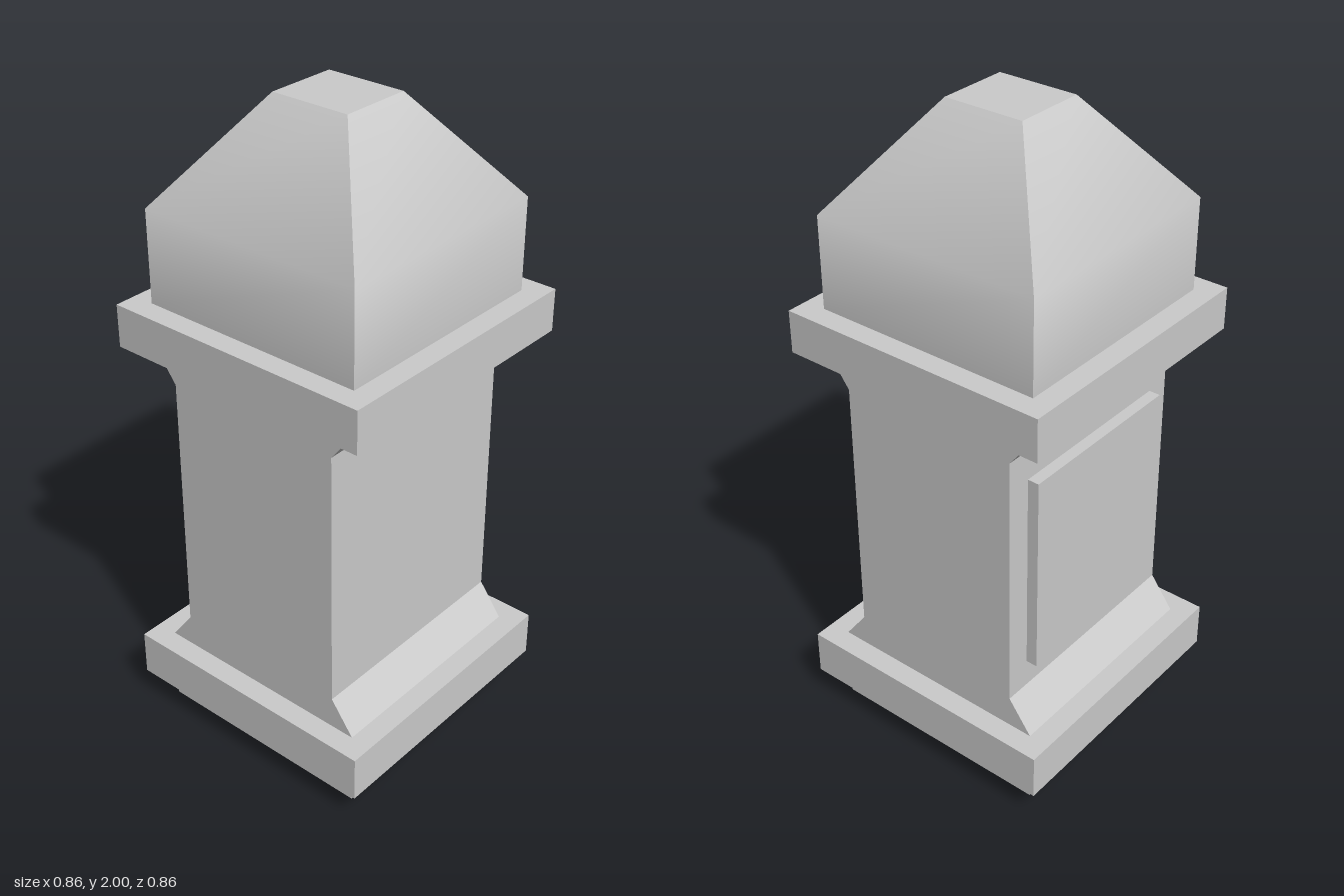
import * as THREE from 'three';

const material = new THREE.MeshStandardMaterial({ color: 0xcccccc });
const HALF = 0.364; // half width of shaft, foot and cap

function part(name, geometry) {
  const mesh = new THREE.Mesh(geometry, material);
  mesh.name = name;
  return mesh;
}

// Box spanning y0..y1, centred on x
function block(name, width, y0, y1, depth, z = 0) {
  const geometry = new THREE.BoxGeometry(width, y1 - y0, depth);
  geometry.translate(0, (y0 + y1) / 2, z);
  return part(name, geometry);
}

// Shaft: waisted side profile pulled straight across x
function shaftGeometry(y0, y1) {
  const neck = 0.288;
  const shape = new THREE.Shape([
    [-HALF, y0], [HALF, y0], [neck, 0.345], [neck, 1.175],
    [HALF, y1], [-HALF, y1], [-neck, 1.175], [-neck, 0.345],
  ].map(([x, y]) => new THREE.Vector2(x, y)));
  const geometry = new THREE.ExtrudeGeometry(shape, { depth: 2 * HALF, bevelEnabled: false });
  geometry.translate(0, 0, -HALF);
  geometry.rotateY(Math.PI / 2);
  return geometry;
}

// Cap: each side is smooth over its bend, with sharp corners between the sides
function capGeometry() {
  const rings = [[HALF, 1.405, HALF], [HALF, 1.69, HALF], [0.112, 2, 0.127]];
  const corners = [[-1, 1], [1, 1], [1, -1], [-1, -1]];
  const positions = [];
  const indices = [];
  for (let side = 0; side < 4; side++) {
    const base = positions.length / 3;
    for (const [hx, y, hz] of rings) {
      for (const [sx, sz] of [corners[side], corners[(side + 1) % 4]]) {
        positions.push(sx * hx, y, sz * hz);
      }
    }
    for (let r = 0; r < 2; r++) {
      const a = base + r * 2;
      indices.push(a, a + 1, a + 3, a, a + 3, a + 2);
    }
  }
  // Flat top and underside
  for (const [ring, order] of [[2, [0, 1, 2, 0, 2, 3]], [0, [0, 2, 1, 0, 3, 2]]]) {
    const base = positions.length / 3;
    const [hx, y, hz] = rings[ring];
    for (const [sx, sz] of corners) positions.push(sx * hx, y, sz * hz);
    indices.push(...order.map((i) => base + i));
  }
  const geometry = new THREE.BufferGeometry();
  geometry.setAttribute('position', new THREE.Float32BufferAttribute(positions, 3));
  geometry.setIndex(indices);
  geometry.computeVertexNormals();
  return geometry;
}

export function createModel() {
  const group = new THREE.Group();
  group.name = 'pillar';
  group.add(
    block('foot', 2 * HALF, 0, 0.097, 2 * HALF),
    block('lowerCollar', 0.864, 0.097, 0.243, 0.864),
    part('shaft', shaftGeometry(0.243, 1.275)),
    block('backPanel', 0.57, 0.435, 1.08, 0.045, -0.3015),
    block('upperCollar', 0.864, 1.275, 1.407, 0.864),
    part('cap', capGeometry()),
  );
  return group;
}
